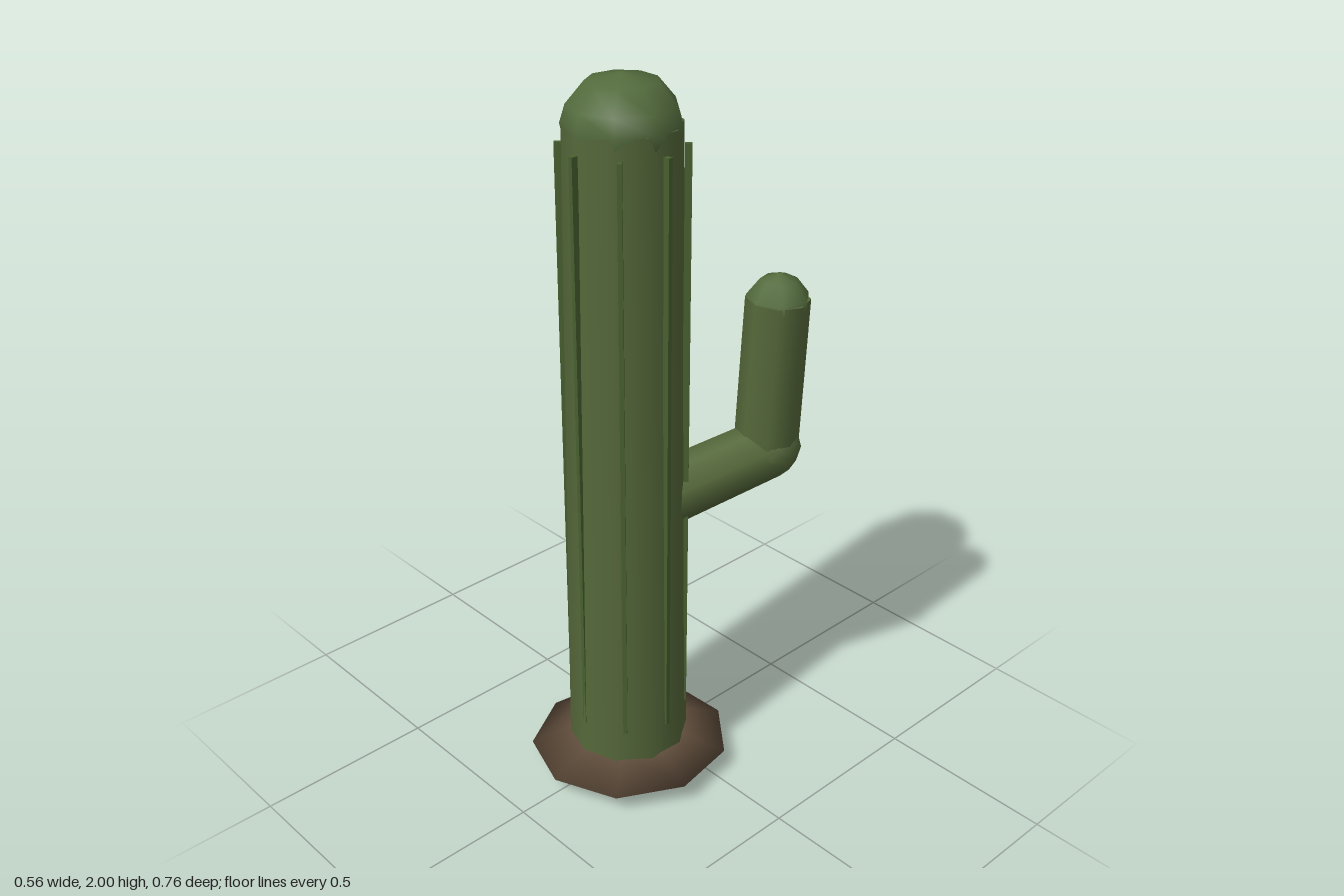
import * as THREE from 'three';

const green = new THREE.MeshStandardMaterial({ color: 0x55683a });
green.name = 'cactusGreen';
const capGreen = new THREE.MeshStandardMaterial({ color: 0x526a3c });
capGreen.name = 'tipGreen';
const ribGreen = new THREE.MeshStandardMaterial({ color: 0x48602f });
ribGreen.name = 'ribGreen';
const soil = new THREE.MeshStandardMaterial({ color: 0x614e3c });
soil.name = 'soilBrown';

const TRUNK_Z = 0.105;

function part(name, geometry, material, x = 0, y = 0, z = 0) {
  const mesh = new THREE.Mesh(geometry, material);
  mesh.name = name;
  mesh.position.set(x, y, z);
  return mesh;
}

// Tapered limb running from point a to point b
function limb(name, a, b, ra, rb, sides) {
  const from = new THREE.Vector3(...a), to = new THREE.Vector3(...b);
  const dir = to.clone().sub(from);
  const mesh = part(name, new THREE.CylinderGeometry(rb, ra, dir.length(), sides), green);
  mesh.position.copy(from).add(to).multiplyScalar(0.5);
  mesh.quaternion.setFromUnitVectors(new THREE.Vector3(0, 1, 0), dir.normalize());
  return mesh;
}

function lathe(points, sides) {
  return new THREE.LatheGeometry(points.map(([r, y]) => new THREE.Vector2(r, y)), sides);
}

export function createModel() {
  const cactus = new THREE.Group();
  cactus.name = 'cactus';

  // Flattened mound of earth, slightly tilted underneath
  const moundShape = lathe([[0, 0.012], [0.14, 0.012], [0.283, 0.052], [0.16, 0.098], [0, 0.105]], 9);
  const p = moundShape.attributes.position;
  for (let i = 0; i < p.count; i++) {
    if (p.getY(i) < 0.09) p.setY(i, p.getY(i) + p.getX(i) * 0.05 - 0.005);
  }
  moundShape.computeBoundingBox();
  moundShape.translate(0, -moundShape.boundingBox.min.y, 0);
  cactus.add(part('soilMound', moundShape, soil, 0, 0, 0.1));

  // Trunk and its rounded top
  cactus.add(limb('trunk', [0, 0.05, TRUNK_Z], [0, 1.88, TRUNK_Z], 0.168, 0.147, 10));
  const capShape = lathe([[0.143, 1.845], [0.15, 1.88], [0.136, 1.925], [0.09, 1.98], [0, 2]], 9);
  cactus.add(part('trunkCap', capShape, capGreen, 0, 0, TRUNK_Z));

  // Narrow upright ribs around the trunk
  const ribShape = new THREE.BoxGeometry(0.012, 1.64, 0.018);
  for (let i = 0; i < 8; i++) {
    const a = (i * Math.PI) / 4;
    const rib = part('rib', ribShape, ribGreen, Math.sin(a) * 0.156, 1.01, TRUNK_Z + Math.cos(a) * 0.156);
    rib.rotation.y = a;
    cactus.add(rib);
  }

  // Side arm: reaches back, bends at the elbow and rises
  const arm = new THREE.Group();
  arm.name = 'arm';
  arm.add(limb('lowerArm', [0.045, 0.845, 0.005], [0.152, 0.922, -0.285], 0.09, 0.085, 8));
  arm.add(part('elbow', new THREE.SphereGeometry(0.088, 8, 6), green, 0.152, 0.927, -0.282));
  arm.add(limb('upperArm', [0.143, 0.93, -0.28], [0.157, 1.365, -0.29], 0.088, 0.086, 8));
  const tipShape = lathe([[0.084, -0.015], [0.084, 0.01], [0.05, 0.055], [0, 0.075]], 7);
  arm.add(part('armCap', tipShape, capGreen, 0.157, 1.36, -0.291));
  cactus.add(arm);

  return cactus;
}
